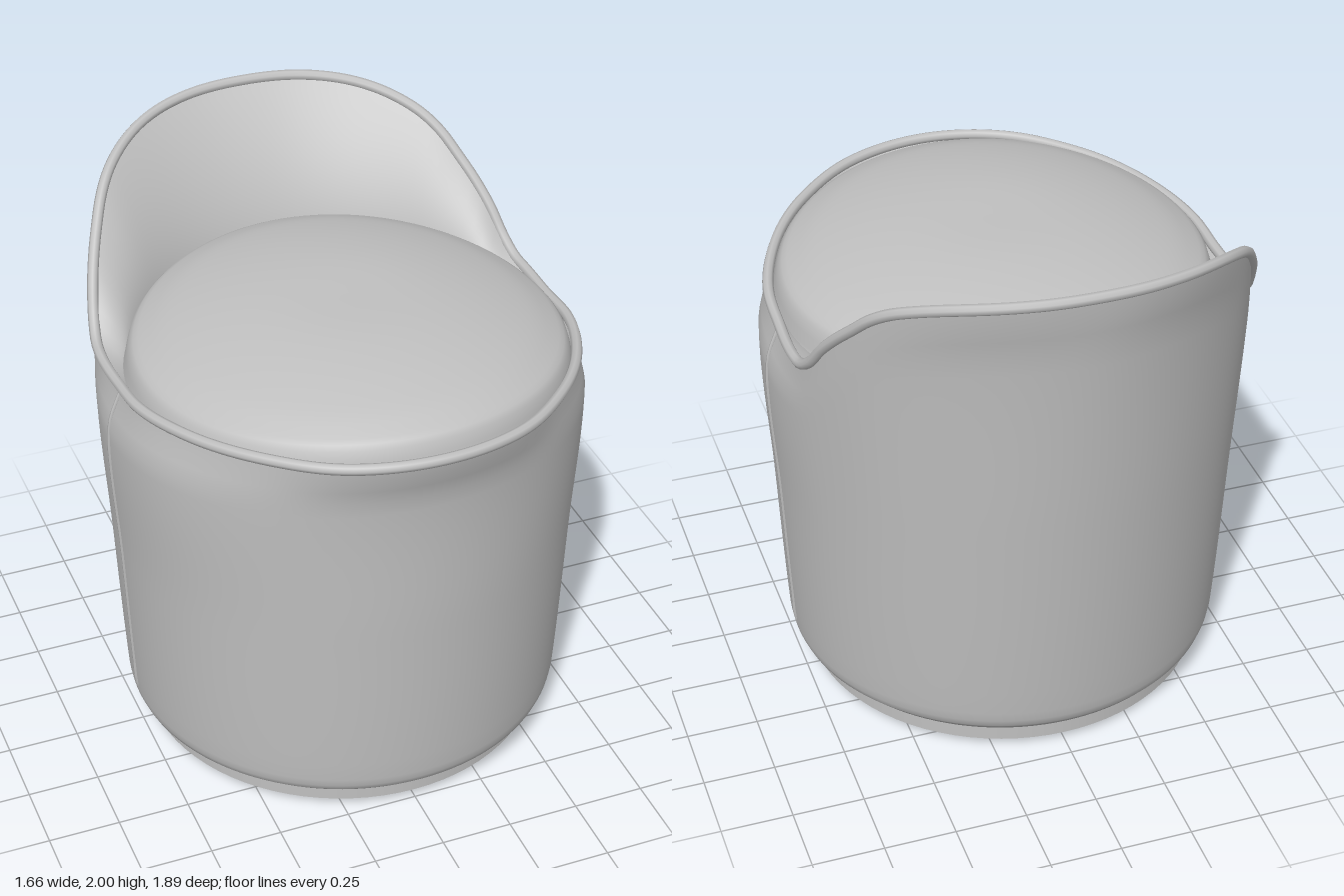
import * as THREE from 'three';

const N = 120; // segments around
const CZ = 0.04; // centre of the body in z
const RAD = Math.PI / 180;

// Smooth interpolation through [position, value] pairs, flat at both ends
function smooth(keys, x) {
  const n = keys.length;
  let i = 0;
  while (i < n - 2 && x > keys[i + 1][0]) i++;
  const slope = (k) => (k === 0 || k === n - 1 ? 0 : (keys[k + 1][1] - keys[k - 1][1]) / (keys[k + 1][0] - keys[k - 1][0]));
  const h = keys[i + 1][0] - keys[i][0];
  const t = Math.min(1, Math.max(0, (x - keys[i][0]) / h));
  const t2 = t * t, t3 = t2 * t;
  return (2 * t3 - 3 * t2 + 1) * keys[i][1] + (t3 - 2 * t2 + t) * h * slope(i)
    + (3 * t2 - 2 * t3) * keys[i + 1][1] + (t3 - t2) * h * slope(i + 1);
}

// Rim height, rim radius and shoulder radius by angle (0 = front, 180 = back)
const RIM_Y = [[0, 1.55], [37, 1.53], [60, 1.505], [78, 1.48], [93, 1.46], [105, 1.46], [111, 1.475],
  [115, 1.52], [121, 1.625], [128, 1.725], [139, 1.865], [156, 1.955], [180, 1.982]];
const RIM_R = [[0, 0.885], [20, 0.87], [37, 0.83], [60, 0.795], [78, 0.785], [93, 0.78], [114, 0.835],
  [128, 0.87], [139, 0.905], [156, 0.95], [168, 0.965], [180, 0.965]];
const SHOULDER_R = [[0, 0.835], [60, 0.83], [90, 0.825], [114, 0.84], [139, 0.885], [180, 0.93]];

const fold = (a) => { const d = (a / RAD) % 360; return d > 180 ? 360 - d : d; };
const polar = (a, r, y, cz = CZ) => new THREE.Vector3(Math.sin(a) * r, y, cz + Math.cos(a) * r);
const rimPoint = (a) => polar(a, smooth(RIM_R, fold(a)), smooth(RIM_Y, fold(a)));

// Point on the outer shell, t = 0 at the bottom and 1 at the rim
function outerPoint(a, t) {
  const d = fold(a), rim = smooth(RIM_R, d), mid = smooth(SHOULDER_R, d);
  const r = smooth([[0, 0.735], [0.015, 0.758], [0.05, 0.772], [0.5, 0.772 + 0.55 * (mid - 0.772)], [0.88, mid], [1, rim]], t);
  return polar(a, r, 0.1 + t * (smooth(RIM_Y, d) - 0.1));
}

// Skin closed loops: rows is a list of functions angle -> point
function loft(rows) {
  const pos = [], idx = [];
  rows.forEach((row, i) => {
    for (let j = 0; j < N; j++) {
      pos.push(...row((j / N) * Math.PI * 2).toArray());
      if (i === rows.length - 1) continue;
      const k = (j + 1) % N, a = i * N, b = a + N;
      idx.push(a + j, a + k, b + k, a + j, b + k, b + j);
    }
  });
  const g = new THREE.BufferGeometry();
  g.setAttribute('position', new THREE.Float32BufferAttribute(pos, 3));
  g.setIndex(idx);
  g.computeVertexNormals();
  return g;
}

export function createModel() {
  const model = new THREE.Group();
  const fabric = new THREE.MeshStandardMaterial({ color: 0xc0c0c0 });
  const add = (name, geometry) => {
    const m = new THREE.Mesh(geometry, fabric);
    m.name = name;
    model.add(m);
    return m;
  };

  // Outer upholstery, with a short turned-under edge
  const outer = [(a) => polar(a, 0.6, 0.1)];
  for (const t of [0, 0.007, 0.015, 0.03, 0.05, 0.1]) outer.push((a) => outerPoint(a, t));
  for (let i = 1; i <= 24; i++) outer.push((a) => outerPoint(a, 0.1 + 0.9 * (i / 24)));
  add('outerShell', loft(outer));

  // Inner face of the backrest, sweeping down to the seat
  const inner = [];
  for (let i = 0; i <= 16; i++) {
    const s = 1 - i / 16;
    inner.push((a) => {
      const top = rimPoint(a);
      const low = polar(a, 0.735, 1.41, 0.11);
      const k = Math.pow(s, 1.7);
      return new THREE.Vector3(low.x + (top.x - low.x) * k, low.y + (top.y - low.y) * s, low.z + (top.z - low.z) * k);
    });
  }
  add('backrestInner', loft(inner));

  // Piping along the rim
  const rim = [];
  for (let i = 0; i < 72; i++) rim.push(rimPoint((i / 72) * Math.PI * 2));
  add('rimPiping', new THREE.TubeGeometry(new THREE.CatmullRomCurve3(rim, true), 180, 0.019, 8, true));

  // Domed seat cushion, fuller along its front and back
  const dome = [[0, 1.69], [0.3, 1.683], [0.55, 1.652], [0.78, 1.6], [0.9, 1.555], [0.97, 1.51], [1, 1.42]];
  const cushion = [];
  for (let i = 0; i <= 24; i++) {
    const s = Math.sin((1 - i / 24) * Math.PI / 2) ;
    const r = 0.76 * s;
    cushion.push((a) => polar(a, r, smooth(dome, s) + 0.055 * s * s * Math.cos(a) ** 2, 0.11));
  }
  add('seatCushion', loft(cushion));

  // Side seams
  for (const side of [1, -1]) {
    const pts = [];
    for (let i = 0; i <= 14; i++) {
      const p = outerPoint(90.5 * RAD, 0.005 + 0.975 * (i / 14));
      pts.push(new THREE.Vector3(p.x * side, p.y, p.z));
    }
    add(side > 0 ? 'leftSeam' : 'rightSeam', new THREE.TubeGeometry(new THREE.CatmullRomCurve3(pts), 40, 0.007, 6));
  }

  // Plinth: upper band over a slightly smaller foot
  const band = add('plinthBand', new THREE.CylinderGeometry(0.71, 0.71, 0.075, 80));
  band.position.set(0, 0.0675, 0.035);
  const foot = add('plinthFoot', new THREE.CylinderGeometry(0.7, 0.67, 0.032, 80));
  foot.position.set(0, 0.016, 0.035);

  return model;
}
